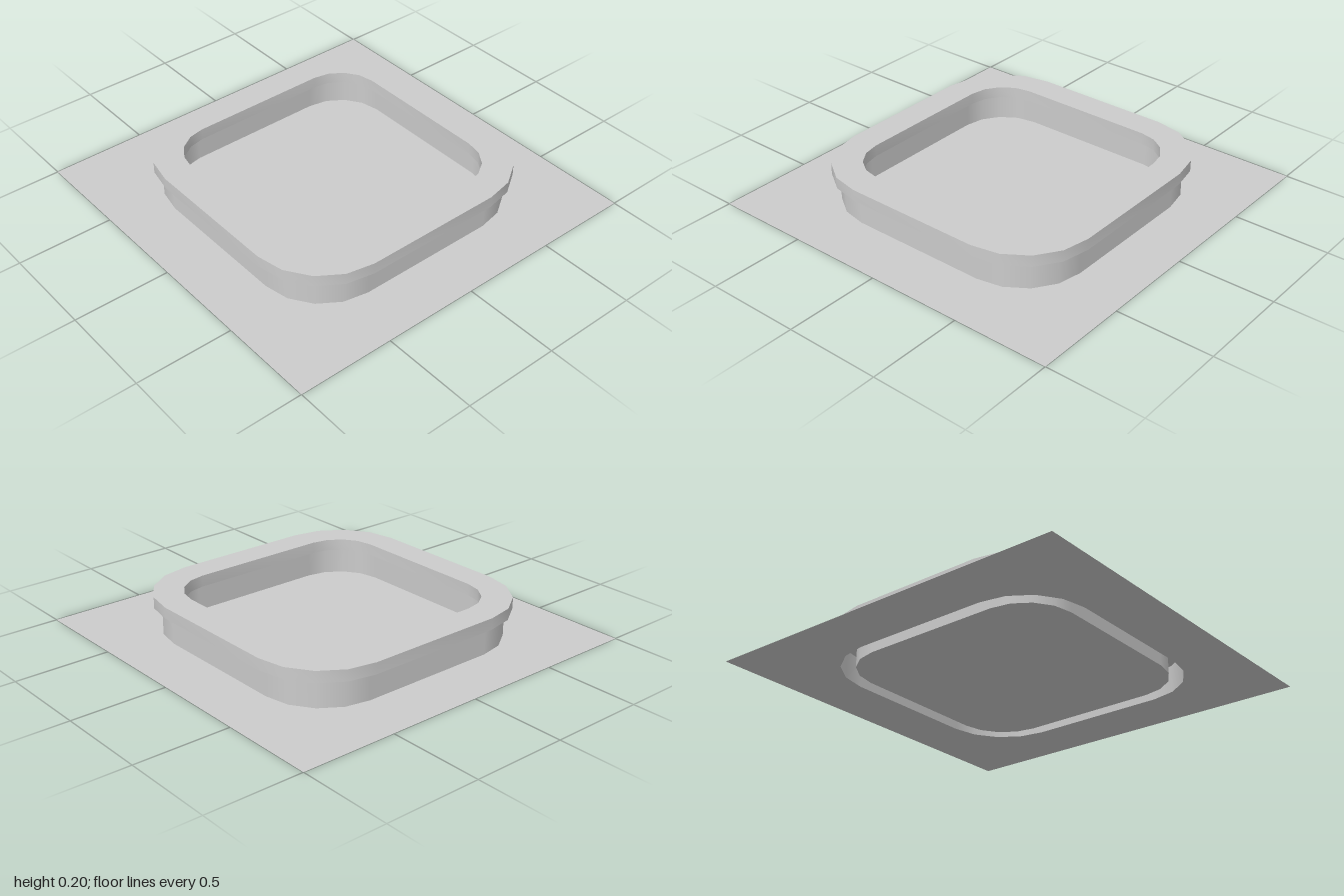
import * as THREE from 'three';
import { toCreasedNormals } from 'three/addons/utils/BufferGeometryUtils.js';

const CENTRE = 0.37;   // corner centres shared by every outline
const STEPS = 4;       // segments per rounded corner
const OUTER = 0.705, INNER = 0.63, WALL_TOP = 0.145, RIM_HEIGHT = 0.06;

// Rounded square outline, counter-clockwise, with the outward angle of each point
function outline(half) {
  const points = [];
  for (let corner = 0; corner < 4; corner++) {
    const mid = (corner + 0.5) * Math.PI / 2;
    for (let i = 0; i <= STEPS; i++) {
      const angle = (corner + i / STEPS) * Math.PI / 2;
      const r = half - CENTRE;
      points.push({
        angle,
        x: Math.sign(Math.cos(mid)) * CENTRE + r * Math.cos(angle),
        y: Math.sign(Math.sin(mid)) * CENTRE + r * Math.sin(angle),
      });
    }
  }
  return points;
}

const toVectors = (half) => outline(half).map((p) => new THREE.Vector2(p.x, p.y));

// Open vertical band following the outline; facing is 1 outward, -1 inward
function band(half, height, facing) {
  const positions = [], normals = [], index = [];
  const points = outline(half);
  const n = points.length;
  points.forEach((p, i) => {
    for (const y of [0, height]) {
      positions.push(p.x, y, -p.y);
      normals.push(facing * Math.cos(p.angle), 0, -facing * Math.sin(p.angle));
    }
    const a = i * 2, b = ((i + 1) % n) * 2;
    if (facing > 0) index.push(a, b, b + 1, a, b + 1, a + 1);
    else index.push(a, b + 1, b, a, a + 1, b + 1);
  });
  const geometry = new THREE.BufferGeometry();
  geometry.setAttribute('position', new THREE.Float32BufferAttribute(positions, 3));
  geometry.setAttribute('normal', new THREE.Float32BufferAttribute(normals, 3));
  geometry.setIndex(index);
  return geometry;
}

export function createModel() {
  const group = new THREE.Group();
  group.name = 'basin';
  const material = new THREE.MeshStandardMaterial({ color: 0xcccccc, side: THREE.DoubleSide });
  const add = (name, geometry) => {
    const mesh = new THREE.Mesh(geometry, material);
    mesh.name = name;
    group.add(mesh);
    return mesh;
  };

  // Flat surround, open where the hollow wall stands
  const square = new THREE.Shape([[-1, -1], [1, -1], [1, 1], [-1, 1]].map(([x, y]) => new THREE.Vector2(x, y)));
  square.holes.push(new THREE.Path(toVectors(OUTER)));
  add('ground', new THREE.ShapeGeometry(square).rotateX(-Math.PI / 2));

  // Basin floor
  add('floor', new THREE.ShapeGeometry(new THREE.Shape(toVectors(INNER))).rotateX(-Math.PI / 2));

  // Hollow wall
  add('outerWall', band(OUTER, WALL_TOP, 1));
  add('innerWall', band(INNER, WALL_TOP, -1));

  // Overhanging rim slab
  const ring = new THREE.Shape(toVectors(0.745));
  ring.holes.push(new THREE.Path(toVectors(0.59)));
  const slab = new THREE.ExtrudeGeometry(ring, { depth: RIM_HEIGHT, bevelEnabled: false });
  slab.rotateX(-Math.PI / 2);
  add('rim', toCreasedNormals(slab, 0.6)).position.y = WALL_TOP;

  return group;
}
